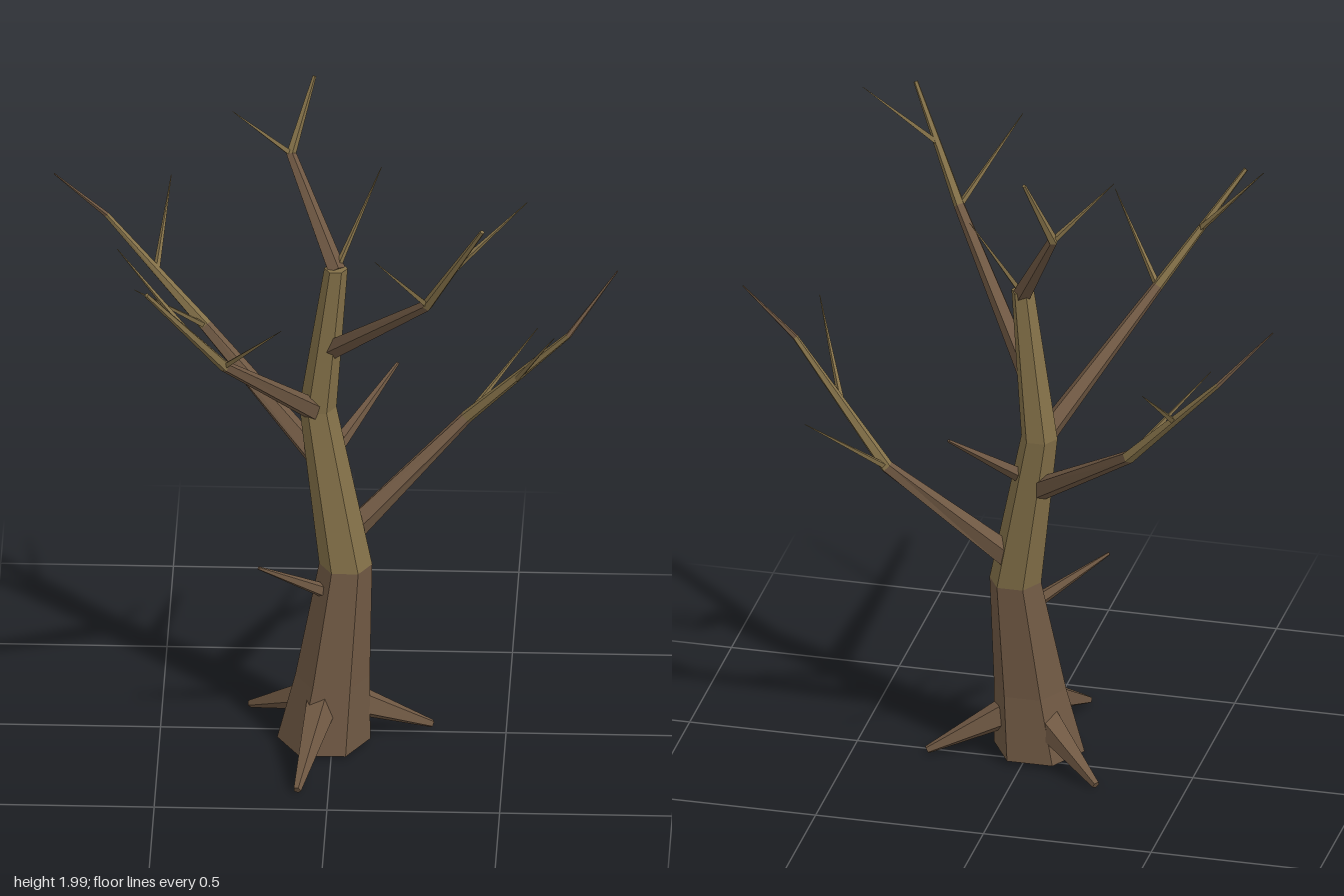
import * as THREE from 'three';

const V = (p) => new THREE.Vector3(...p);

// Faceted limb through [x, y, z, radius] stations; one material index per segment
function limb(stations, sides, colours, level = false) {
  const pts = stations.map(V);
  const rings = pts.map((p, i) => {
    const dir = pts[Math.min(i + 1, pts.length - 1)].clone().sub(pts[Math.max(i - 1, 0)]).normalize();
    if (level) dir.set(0, 1, 0);
    // u, dir, w form a right-handed frame
    const w = V([1, 0, 0]).addScaledVector(dir, -dir.x).normalize().cross(dir).normalize();
    const u = dir.clone().cross(w).normalize();
    return Array.from({ length: sides }, (_, k) => {
      const a = (k / sides) * Math.PI * 2, r = stations[i][3];
      return p.clone().addScaledVector(u, Math.cos(a) * r).addScaledVector(w, -Math.sin(a) * r);
    });
  });
  const out = [], geo = new THREE.BufferGeometry();
  const tri = (...c) => c.forEach((v) => out.push(v.x, v.y, v.z));
  const last = pts.length - 1;
  for (let i = 0; i < last; i++) {
    const start = out.length / 3;
    for (let k = 0; k < sides; k++) {
      const n = (k + 1) % sides, A = rings[i], B = rings[i + 1];
      tri(A[k], B[n], A[n]);
      tri(A[k], B[k], B[n]);
      if (i === 0) tri(pts[0], A[k], A[n]);
      if (i === last - 1) tri(pts[last], B[n], B[k]);
    }
    geo.addGroup(start, out.length / 3 - start, colours[i]);
  }
  // Make every face point outward whichever way the frame turned
  const e1 = rings[0][1].clone().sub(rings[0][0]);
  const e2 = rings[1][0].clone().sub(rings[0][0]);
  if (e2.cross(e1).dot(rings[0][0].clone().add(rings[0][1]).multiplyScalar(0.5).sub(pts[0])) < 0) {
    for (let i = 0; i < out.length; i += 9)
      for (let j = 0; j < 3; j++) [out[i + 3 + j], out[i + 6 + j]] = [out[i + 6 + j], out[i + 3 + j]];
  }
  geo.setAttribute('position', new THREE.Float32BufferAttribute(out, 3));
  geo.computeVertexNormals();
  return geo;
}

export function createModel() {
  const group = new THREE.Group();
  const brown = new THREE.MeshStandardMaterial({ color: 0x6f5843 });
  brown.name = 'bark brown';
  const olive = new THREE.MeshStandardMaterial({ color: 0x837048 });
  olive.name = 'bark olive';
  const add = (name, stations, sides, colours, level) => {
    const mesh = new THREE.Mesh(limb(stations, sides, colours, level), [brown, olive]);
    mesh.name = name;
    group.add(mesh);
  };

  // Trunk: bent hexagonal column
  add('trunk', [
    [-0.025, 0.02, 0.07, 0.135],
    [0, 0.22, 0.06, 0.108],
    [0.037, 0.57, 0.032, 0.077],
    [-0.045, 1.06, -0.01, 0.054],
    [0.008, 1.52, 0.005, 0.034],
  ], 6, [0, 0, 1, 1], true);

  // Roots
  [
    [[-0.03, 0.16, 0.12, 0.05], [-0.09, 0.02, 0.4, 0.012]],
    [[0.05, 0.14, 0.05, 0.05], [0.285, 0.02, -0.03, 0.012]],
    [[-0.05, 0.14, 0.02, 0.05], [-0.245, 0.02, -0.135, 0.012]],
  ].forEach((r) => add('root', r, 5, [0]));

  // Main branches
  add('leftBranch', [[0.05, 0.66, 0, 0.038], [0.38, 0.97, -0.13, 0.02],
    [0.68, 1.3, -0.02, 0.009], [0.82, 1.48, -0.085, 0.002]], 5, [0, 1, 0]);
  add('rightBranch', [[-0.03, 0.88, 0, 0.036], [-0.38, 1.17, -0.29, 0.02],
    [-0.67, 1.48, -0.38, 0.008], [-0.82, 1.64, -0.325, 0.002]], 5, [0, 1, 0]);
  add('frontRightBranch', [[-0.05, 1.05, 0, 0.034], [-0.3, 1.39, 0.38, 0.017],
    [-0.52, 1.71, 0.555, 0.007]], 5, [0, 1]);
  add('frontLeftBranch', [[-0.01, 1.25, 0, 0.03], [0.285, 1.59, 0.36, 0.017],
    [0.45, 1.905, 0.497, 0.007]], 5, [0, 1]);
  add('topBranch', [[0.008, 1.51, 0, 0.028], [-0.13, 1.79, -0.19, 0.016],
    [-0.065, 2, -0.275, 0.006]], 5, [0, 1]);

  // Short broken stubs
  add('stub', [[0, 0.92, 0, 0.024], [0.18, 1.11, -0.195, 0.005]], 5, [0]);
  add('stub', [[0, 0.48, 0.05, 0.024], [-0.21, 0.62, 0.165, 0.005]], 5, [0]);

  // Thin tapering twigs: base, tip
  [
    [[0.38, 0.97, -0.13], [0.58, 1.17, -0.31]],
    [[0.53, 1.13, -0.07], [0.645, 1.37, 0.13]],
    [[-0.38, 1.17, -0.29], [-0.58, 1.38, -0.105]],
    [[-0.525, 1.325, -0.335], [-0.49, 1.515, -0.57]],
    [[-0.3, 1.39, 0.38], [-0.13, 1.6, 0.555]],
    [[-0.41, 1.55, 0.465], [-0.61, 1.78, 0.405]],
    [[0.285, 1.59, 0.36], [0.14, 1.82, 0.535]],
    [[0.37, 1.75, 0.43], [0.575, 1.935, 0.365]],
    [[-0.13, 1.79, -0.19], [-0.295, 1.96, -0.12]],
    [[0.008, 1.51, 0], [0.135, 1.785, -0.125]],
  ].forEach(([a, b]) => add('twig', [[...a, 0.01], [...b, 0.001]], 4, [1]));

  return group;
}
